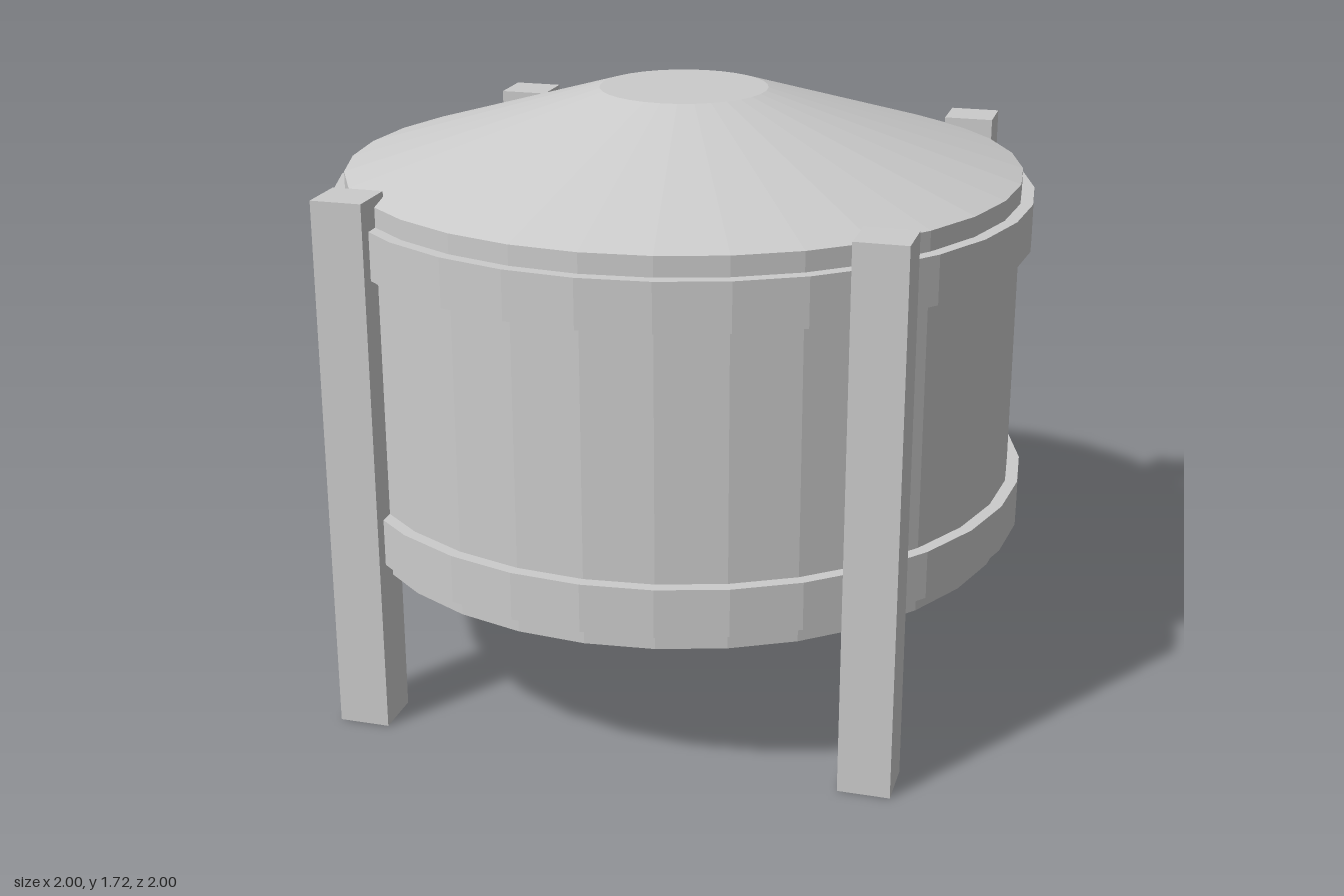
import * as THREE from 'three';

const SIDES = 32;

export function createModel() {
  const model = new THREE.Group();
  model.name = 'storageTank';
  const material = new THREE.MeshStandardMaterial({ color: 0xcccccc, flatShading: true });

  const add = (name, geometry, x, y, z) => {
    const mesh = new THREE.Mesh(geometry, material);
    mesh.name = name;
    mesh.position.set(x, y, z);
    model.add(mesh);
  };

  // Faceted drum section between two heights
  const drum = (name, bottomRadius, topRadius, y0, y1, open = false) =>
    add(name, new THREE.CylinderGeometry(topRadius, bottomRadius, y1 - y0, SIDES, 1, open), 0, (y0 + y1) / 2, 0);

  // Tank wall with conical roof and hopper floor
  drum('tankWall', 0.965, 0.965, 0.435, 1.5, true);
  drum('roof', 0.965, 0.24, 1.5, 1.72);
  drum('hopper', 0.197, 0.965, 0.175, 0.435);

  // Reinforcing bands
  drum('lowerBand', 1, 1, 0.485, 0.62);
  drum('upperBand', 1, 1, 1.31, 1.445);

  // Four square legs
  const legHeight = 1.53;
  const legOffset = 0.722;
  for (const [sz, end] of [[1, 'front'], [-1, 'back']]) {
    for (const [sx, side] of [[1, 'Left'], [-1, 'Right']]) {
      add(`${end}${side}Leg`, new THREE.BoxGeometry(0.144, legHeight, 0.144),
        sx * legOffset, legHeight / 2, sz * legOffset);
    }
  }

  return model;
}
